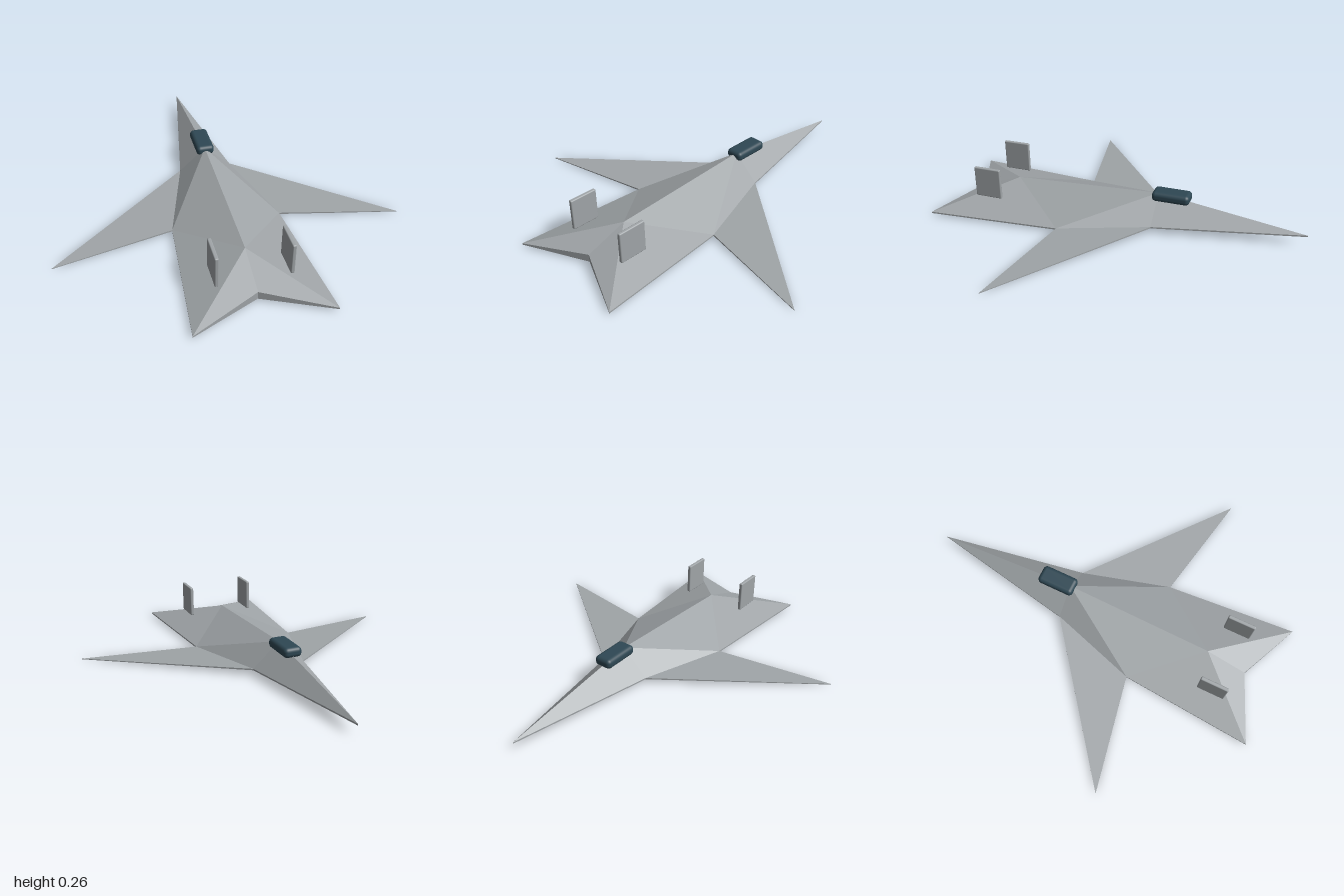
import * as THREE from 'three';
import { RoundedBoxGeometry } from 'three/addons/geometries/RoundedBoxGeometry.js';

const hull = new THREE.MeshStandardMaterial({ color: 0xa0a5a8 });
hull.name = 'hull grey';
const glass = new THREE.MeshStandardMaterial({ color: 0x2f4854 });
glass.name = 'canopy teal';

// Corner points of the left half; upper skin and lower skin (lower case)
const P = {
  N: [0, 0.057, -1], n: [0, 0.049, -1],              // nose tip
  S: [0.145, 0.038, -0.2], s: [0.145, 0.03, -0.2],   // wing shoulder
  W: [0.915, 0.004, 0.4], w: [0.915, 0, 0.4],        // wing tip
  E: [0.29, 0.02, 0.28], e: [0.29, 0.012, 0.28],     // wing root, rear
  T: [0.345, 0.02, 1], t: [0.345, 0.012, 1],         // tail point
  K: [0, 0.055, 0.845], k: [0, 0.012, 0.845],        // tail notch
  R: [0, 0.17, -0.2], r: [0, 0.028, -0.2],           // spine front
  Q: [0, 0.132, 0.62],                               // spine rear
};

// Flat-faced shell from point-name triangles, mirrored when side is -1
function shell(name, faces, side) {
  const pos = [];
  for (const f of faces.split(' ')) {
    const corners = side > 0 ? [...f] : [...f].reverse();
    for (const c of corners) pos.push(P[c][0] * side, P[c][1], P[c][2]);
  }
  const geo = new THREE.BufferGeometry();
  geo.setAttribute('position', new THREE.Float32BufferAttribute(pos, 3));
  geo.computeVertexNormals();
  const mesh = new THREE.Mesh(geo, hull);
  mesh.name = name;
  return mesh;
}

// Two triangles closing the thin edge between upper and lower skin
const edge = (a, b) => {
  const la = a.toLowerCase(), lb = b.toLowerCase();
  return ` ${lb}${la}${a} ${lb}${a}${b}`;
};

export function createModel() {
  const model = new THREE.Group();
  model.name = 'aircraft';

  for (const side of [1, -1]) {
    const label = side > 0 ? 'left' : 'right';
    model.add(
      shell(label + 'Nose', 'NRS nsr' + edge('N', 'S'), side),
      shell(label + 'Fuselage', 'RES RQE QTE QKT rsk sek etk' + edge('E', 'T') + edge('T', 'K'), side),
      shell(label + 'Wing', 'SEW swe' + edge('S', 'W') + edge('W', 'E'), side),
    );

    // Upright tail fin
    const fin = new THREE.Mesh(new RoundedBoxGeometry(0.02, 0.172, 0.152, 2, 0.006), hull);
    fin.name = label + 'TailFin';
    fin.position.set(side * 0.184, 0.17, 0.72);
    model.add(fin);
  }

  // Cockpit canopy
  const canopy = new THREE.Mesh(new RoundedBoxGeometry(0.1, 0.054, 0.206, 3, 0.022), glass);
  canopy.name = 'canopy';
  canopy.position.set(0, 0.164, -0.275);
  model.add(canopy);

  return model;
}
